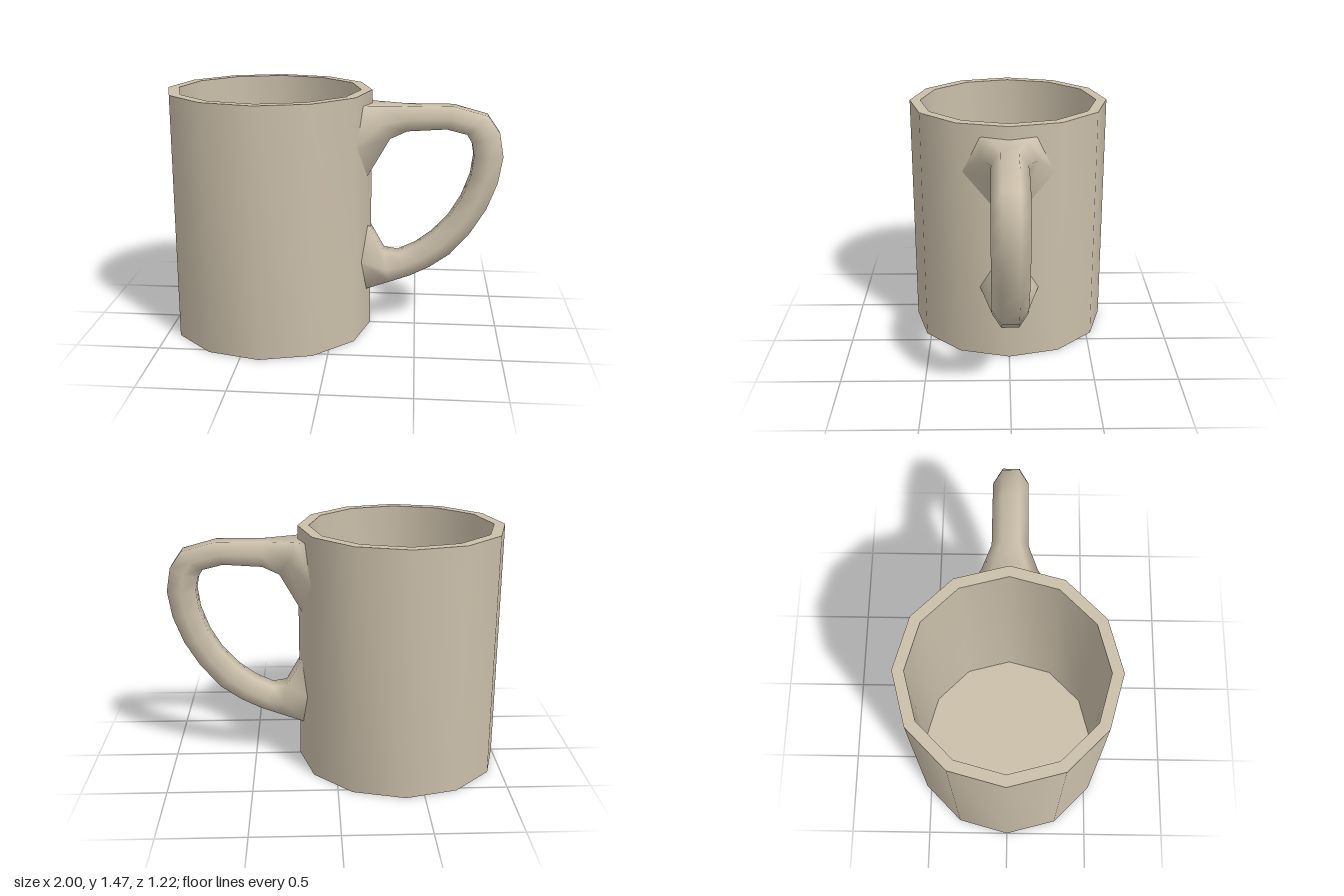
import * as THREE from 'three';
import { toCreasedNormals } from 'three/addons/utils/BufferGeometryUtils.js';

const CENTER_X = -0.39;
const RADIUS = 0.61;

// x of the twelve-sided wall near the handle, slightly sunk in
const wallX = (z) => CENTER_X + RADIUS - 0.268 * Math.abs(z) - 0.008;

// Handle sections: outer x, y, inner x, y, then half widths at outer, middle, inner
const SECTIONS = [
  [0.20, 1.40, 0.21, 0.95, 0.17, 0.28, 0.08],
  [0.23, 1.39, 0.33, 1.19, 0.10, 0.16, 0.06],
  [0.42, 1.385, 0.43, 1.235],
  [0.70, 1.385, 0.66, 1.25],
  [0.90, 1.33, 0.78, 1.22],
  [0.97, 1.23, 0.81, 1.17],
  [0.995, 1.09, 0.825, 1.09],
  [0.97, 0.93, 0.81, 0.97],
  [0.91, 0.77, 0.76, 0.83],
  [0.82, 0.62, 0.69, 0.71],
  [0.70, 0.48, 0.59, 0.60],
  [0.58, 0.395, 0.49, 0.525],
  [0.46, 0.335, 0.385, 0.475],
  [0.34, 0.295, 0.30, 0.485, 0.06, 0.12, 0.06],
  [0.21, 0.25, 0.21, 0.67, 0.08, 0.18, 0.06],
];

function handleGeometry() {
  const positions = [];
  const index = [];
  const last = SECTIONS.length - 1;
  SECTIONS.forEach(([ox, oy, ix, iy, zo = 0.05, zm = 0.104, zi = 0.05], i) => {
    const half = [[ox, oy, zo], [(ox + ix) / 2, (oy + iy) / 2, zm], [ix, iy, zi]];
    const ring = [...half, ...half.map(([x, y, z]) => [x, y, -z]).reverse()];
    for (const [x, y, z] of ring) {
      // The two roots lie on the cup wall
      positions.push(i === 0 || i === last ? wallX(z) : x, y, z);
    }
  });
  for (let i = 0; i < last; i++) {
    for (let j = 0; j < 6; j++) {
      const k = (j + 1) % 6;
      const a = i * 6 + j, b = i * 6 + k;
      index.push(a, b, b + 6, a, b + 6, a + 6);
    }
  }
  const geometry = new THREE.BufferGeometry();
  geometry.setAttribute('position', new THREE.Float32BufferAttribute(positions, 3));
  geometry.setIndex(index);
  geometry.computeVertexNormals();
  return geometry;
}

export function createModel() {
  const group = new THREE.Group();
  group.name = 'mug';
  const ceramic = new THREE.MeshStandardMaterial({ color: 0xcbbfaa });
  ceramic.name = 'beige ceramic';

  // Cup: base, outer wall, rim, inner wall and floor in one profile
  const profile = [[0, 0], [RADIUS, 0], [RADIUS, 1.47], [0.545, 1.47], [0.545, 0.07], [0, 0.07]]
    .map(([x, y]) => new THREE.Vector2(x, y));
  const cup = new THREE.Mesh(toCreasedNormals(new THREE.LatheGeometry(profile, 12), 0.7), ceramic);
  cup.name = 'cup';
  cup.position.x = CENTER_X;

  // Six-sided handle, flaring where it joins the wall
  const handle = new THREE.Mesh(handleGeometry(), ceramic);
  handle.name = 'handle';

  group.add(cup, handle);
  return group;
}
